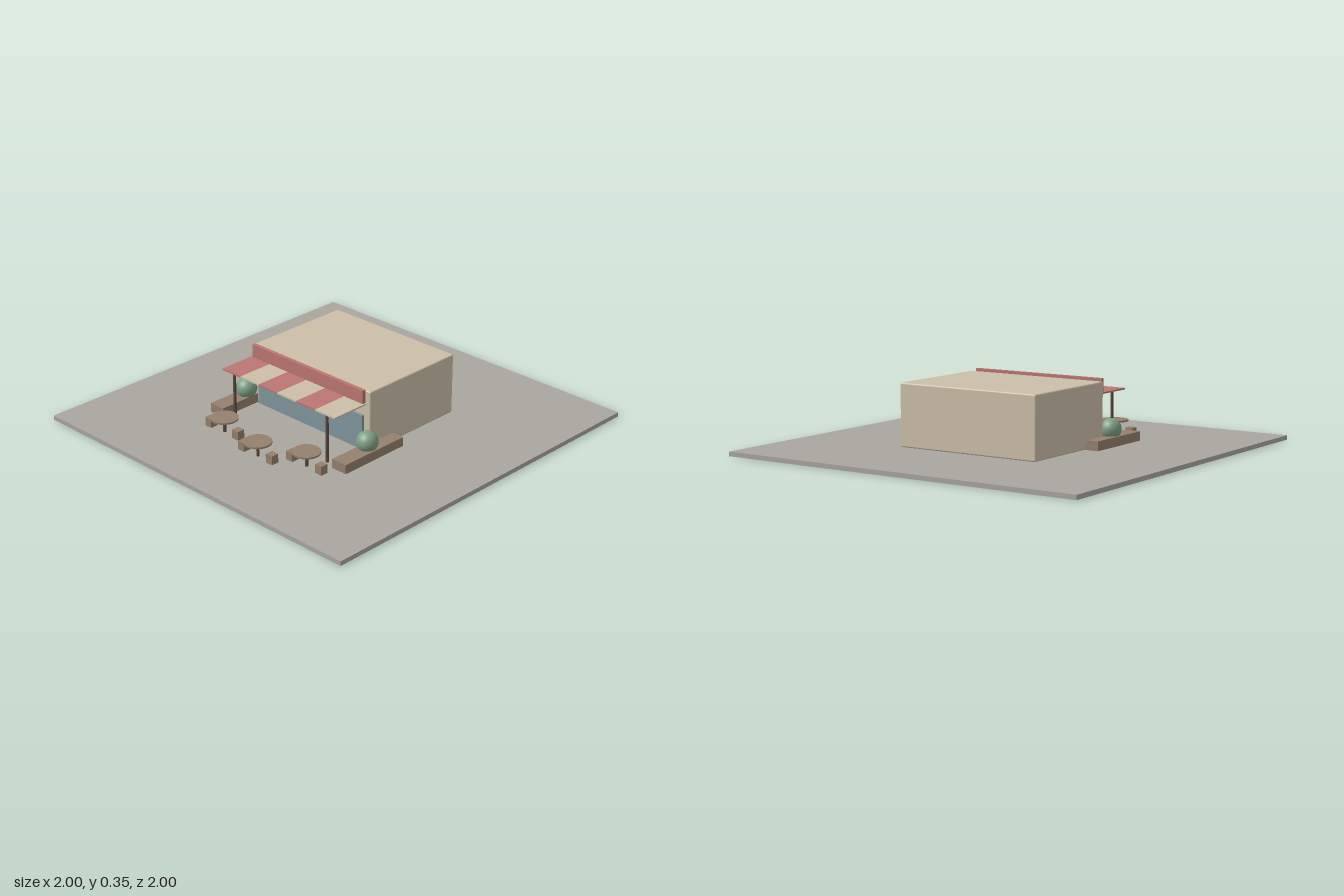
import * as THREE from 'three';
import { RoundedBoxGeometry } from 'three/addons/geometries/RoundedBoxGeometry.js';

const mat = (color) => new THREE.MeshStandardMaterial({ color });

export function createModel() {
  const model = new THREE.Group();
  const paving = mat(0xa9a59f), cream = mat(0xcbbfa8), red = mat(0xbb7673);
  const glass = mat(0x80949c), wood = mat(0x94806e), leaf = mat(0x7f9f85), dark = mat(0x5a4b41);
  const G = 0.023; // top of the paving

  const add = (parent, name, geometry, material, x, y, z) => {
    const mesh = new THREE.Mesh(geometry, material);
    mesh.name = name;
    mesh.position.set(x, y, z);
    parent.add(mesh);
    return mesh;
  };
  const box = (w, h, d) => new THREE.BoxGeometry(w, h, d);
  const rod = (r, h, sides = 16) => new THREE.CylinderGeometry(r, r, h, sides);

  // Ground and building
  add(model, 'ground', box(2, G, 2), paving, 0, G / 2, 0);
  add(model, 'building', new RoundedBoxGeometry(0.8, 0.32, 0.6, 3, 0.008), cream, 0, G + 0.16, -0.12);

  // Shop front
  add(model, 'window', box(0.72, 0.18, 0.015), glass, 0, 0.12, 0.188);
  add(model, 'signBoard', box(0.76, 0.07, 0.02), red, 0, 0.32, 0.202);

  // Striped flat awning
  const awning = new THREE.Group();
  awning.name = 'awning';
  model.add(awning);
  for (let i = 0; i < 6; i++) {
    add(awning, 'awningStripe', box(0.129, 0.008, 0.21), i % 2 ? cream : red, (i - 2.5) * 0.129, 0.282, 0.304);
  }

  // Awning posts, planters and shrubs, mirrored
  for (const s of [-1, 1]) {
    add(model, 'awningPost', rod(0.008, 0.28 - G), dark, s * 0.32, (0.28 + G) / 2, 0.392);
    add(model, 'planter', box(0.09, 0.048, 0.4), wood, s * 0.425, G + 0.024, 0.22);
    add(model, 'shrub', new THREE.SphereGeometry(0.054, 32, 20), leaf, s * 0.42, 0.104, 0.22);
  }

  // Cafe tables, each with two stools
  for (const [x, z] of [[-0.26, 0.52], [0.04, 0.58], [0.28, 0.49]]) {
    const set = new THREE.Group();
    set.name = 'tableSet';
    set.position.set(x, 0, z);
    model.add(set);
    add(set, 'tableTop', rod(0.07, 0.009, 32), wood, 0, 0.099, 0);
    add(set, 'tableLeg', rod(0.008, 0.096 - G), dark, 0, (0.096 + G) / 2, 0);
    for (const s of [-1, 1]) {
      add(set, 'stool', box(0.042, 0.046, 0.042), wood, s * 0.097, G + 0.023, 0);
    }
  }
  return model;
}
